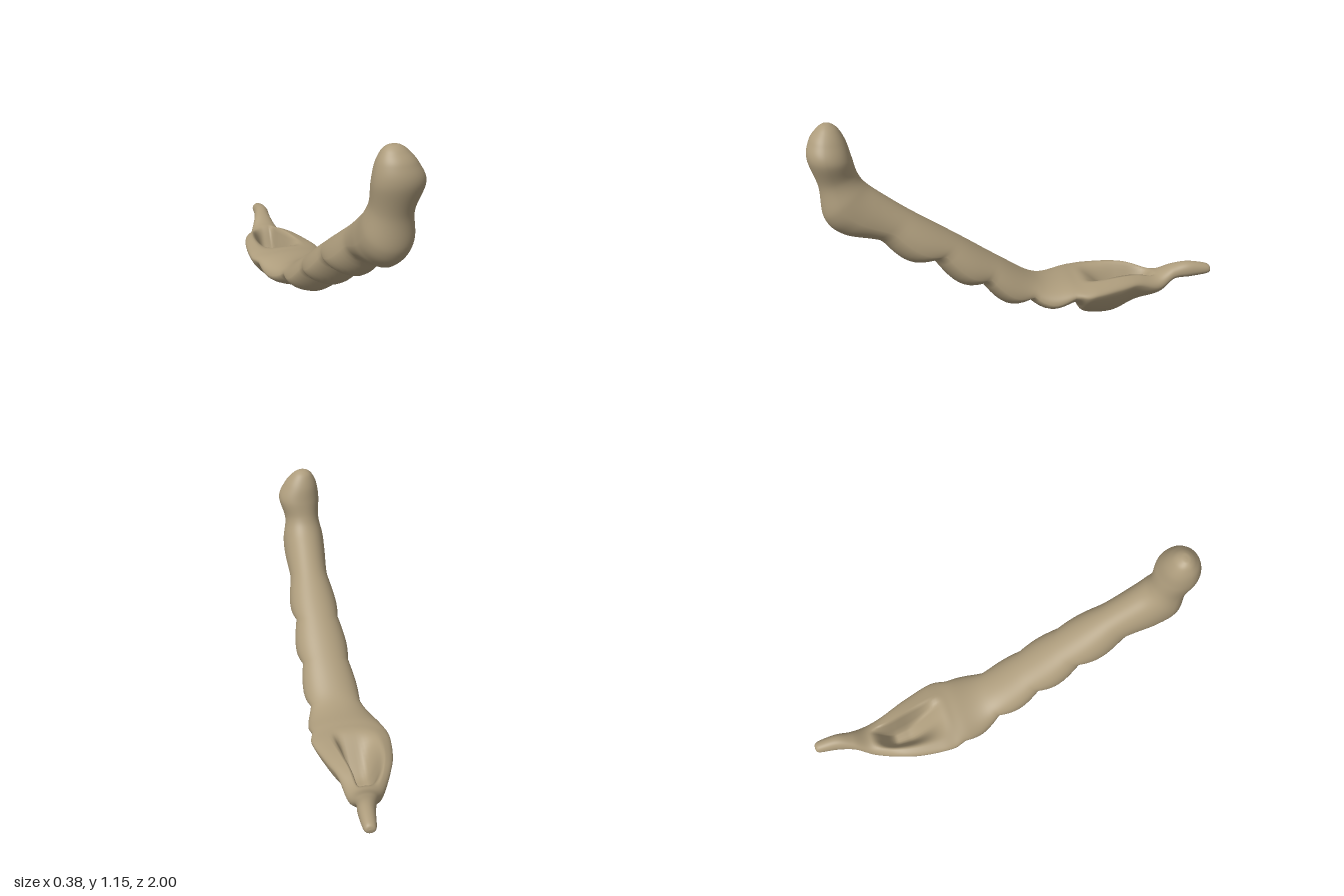
import * as THREE from 'three';

const { smoothstep } = THREE.MathUtils;

// Key slices from tail to head: [zTop, yTop, zBottom, yBottom, xMin, xMax]
const SLICES = [
  [-1.0, 0.23, -1.0, 0.22, 0.02, 0.04],
  [-0.98, 0.252, -0.985, 0.2, 0.003, 0.06],
  [-0.88, 0.27, -0.89, 0.188, -0.014, 0.066],
  [-0.8, 0.253, -0.8, 0.175, -0.04, 0.06],
  [-0.71, 0.217, -0.72, 0.106, -0.085, 0.08],
  [-0.6, 0.238, -0.6, 0.058, -0.142, 0.102],
  [-0.49, 0.25, -0.47, 0.004, -0.178, 0.142],
  [-0.33, 0.246, -0.32, 0.03, -0.195, 0.185],
  [-0.24, 0.247, -0.24, 0.12, -0.175, 0.172],
  [-0.07, 0.268, -0.005, 0.178, -0.105, 0.148],
  [0.13, 0.4, 0.23, 0.295, -0.08, 0.158],
  [0.32, 0.537, 0.465, 0.452, -0.06, 0.162],
  [0.54, 0.69, 0.69, 0.565, -0.04, 0.16],
  [0.68, 0.795, 0.87, 0.615, -0.05, 0.17],
  [0.75, 0.855, 0.95, 0.705, -0.05, 0.17],
  [0.783, 0.91, 0.962, 0.86, -0.03, 0.155],
  [0.802, 0.99, 1.0, 1.0, -0.036, 0.183],
  [0.822, 1.065, 0.985, 1.08, -0.025, 0.15],
  [0.85, 1.12, 0.952, 1.125, -0.002, 0.11],
  [0.878, 1.144, 0.925, 1.146, 0.022, 0.08],
  [0.897, 1.15, 0.905, 1.15, 0.045, 0.055],
];
const STEPS = 10;
const AROUND = 72;

// Smoothly interpolated slice at position s along the list
function sliceAt(s) {
  const last = SLICES.length - 1;
  const i = Math.min(Math.floor(s), last - 1);
  const t = s - i;
  const p = [i - 1, i, i + 1, i + 2].map(k => SLICES[Math.max(0, Math.min(last, k))]);
  return p[1].map((b, k) => {
    const [a, , c, d] = p.map(row => row[k]);
    return b + 0.5 * t * (c - a + t * (2 * a - 5 * b + 4 * c - d + t * (3 * (b - c) + d - a)));
  });
}

// Four equal belly lobes with sharp valleys between them
function lobe(z) {
  return z > -0.24 && z < 0.7 ? Math.abs(Math.sin(Math.PI * (z + 0.24) / 0.235)) : 0;
}

// Rises from 0 to 1 over a..b and falls back over c..d
function plateau(x, a, b, c, d) {
  return smoothstep(x, a, b) * (1 - smoothstep(x, c, d));
}

// Ring of points: rounded back, lobed belly, and a keeled hull with a trough near the tail
function ringPoints([zt, yt, zb, yBase, xMin, xMax]) {
  const bulge = lobe(zb);
  const yb = yBase - bulge * (0.03 + 0.035 * smoothstep(zb, -0.2, 0.05));
  const halfWidth = (xMax - xMin) / 2 + 0.02 * bulge;
  const hull = plateau(zb, -0.8, -0.55, -0.35, -0.12);
  const depth = 0.16 * plateau(zb, -0.72, -0.58, -0.5, -0.28);
  const keel = 0.42 * hull + 0.15 * plateau(zb, -0.2, 0, 0.88, 0.96);
  const widest = 0.45 + 0.35 * hull;
  const points = [];
  for (let j = 0; j < AROUND; j++) {
    const angle = (j / AROUND) * Math.PI * 2;
    const c = Math.cos(angle), sn = Math.sin(angle);
    const power = sn < 0 ? 1 + keel : 0.95;
    const u = Math.sign(c) * Math.pow(Math.abs(c), power);
    const v = Math.pow(Math.abs(sn), power);
    const h = sn < 0 ? widest * (1 - v) : widest + (1 - widest) * v;
    const trough = sn > 0 ? depth * plateau(u, -0.74, -0.12, 0.28, 0.5) : 0;
    points.push(
      (xMin + xMax) / 2 + u * halfWidth,
      yb + (yt - yb) * h - trough,
      zb + (zt - zb) * h,
    );
  }
  return points;
}

function loftGeometry() {
  const rings = (SLICES.length - 1) * STEPS;
  const positions = [], index = [];
  for (let i = 0; i <= rings; i++) positions.push(...ringPoints(sliceAt(i / STEPS)));
  for (let i = 0; i < rings; i++) {
    for (let j = 0; j < AROUND; j++) {
      const a = i * AROUND + j, b = i * AROUND + (j + 1) % AROUND;
      index.push(a, b, a + AROUND, b, b + AROUND, a + AROUND);
    }
  }
  // Close the small tail and head tips
  const end = rings * AROUND;
  for (let j = 1; j < AROUND - 1; j++) {
    index.push(0, j + 1, j, end, end + j, end + j + 1);
  }
  const geometry = new THREE.BufferGeometry();
  geometry.setAttribute('position', new THREE.Float32BufferAttribute(positions, 3));
  geometry.setIndex(index);
  geometry.computeVertexNormals();
  return geometry;
}

export function createModel() {
  const group = new THREE.Group();
  group.name = 'lobedCurvedForm';
  const tan = new THREE.MeshStandardMaterial({ color: 0xad9c7c });
  tan.name = 'tan';
  const body = new THREE.Mesh(loftGeometry(), tan);
  body.name = 'body';
  group.add(body);
  return group;
}
